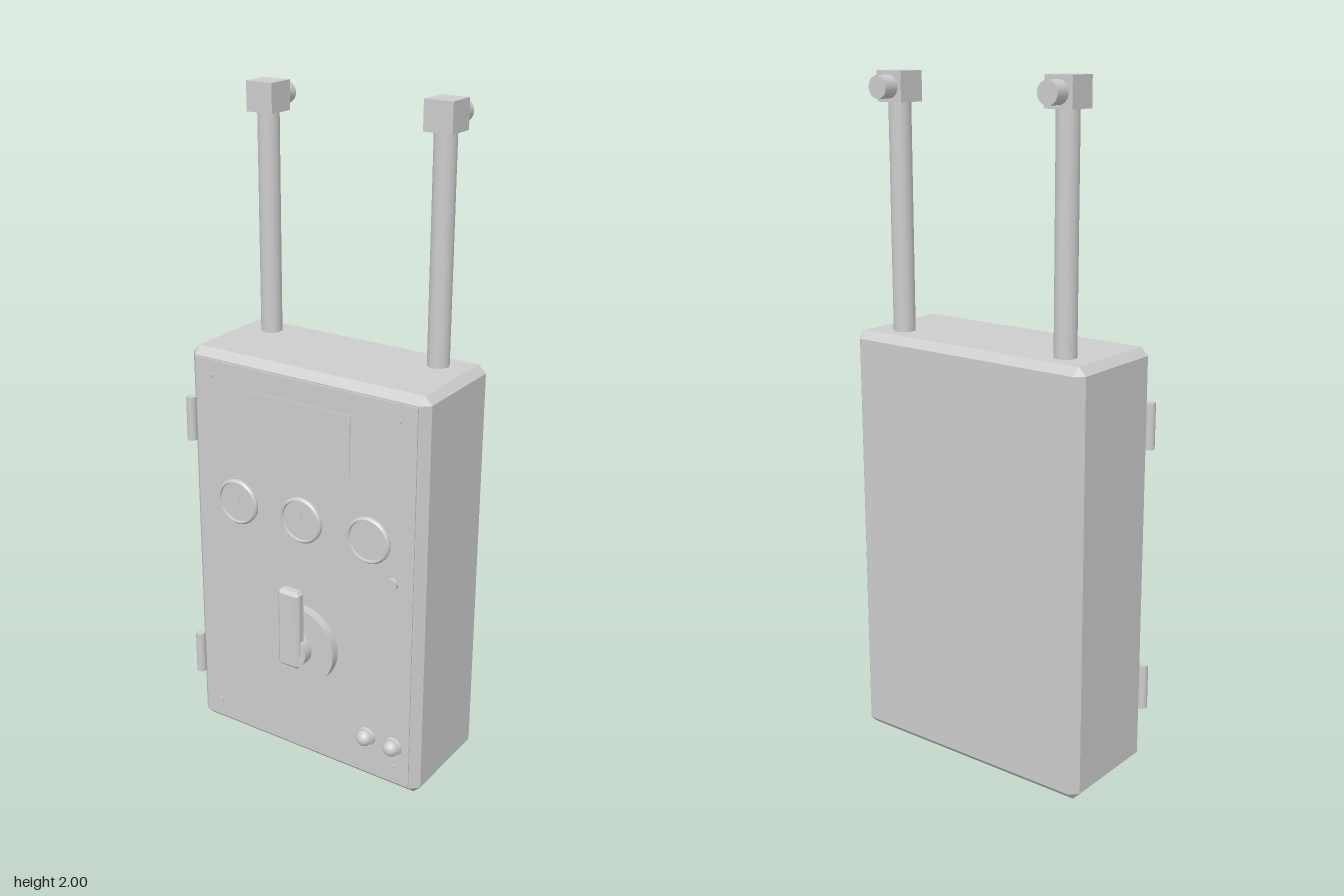
import * as THREE from 'three';
import { ConvexGeometry } from 'three/addons/geometries/ConvexGeometry.js';

const FRONT = 0.134; // z of the door surface

// Box with every edge chamfered by c
function chamferBox(w, h, d, c) {
  const pts = [];
  for (const sx of [-1, 1]) for (const sy of [-1, 1]) for (const sz of [-1, 1]) {
    const x = w / 2, y = h / 2, z = d / 2;
    pts.push(
      new THREE.Vector3(sx * x, sy * (y - c), sz * (z - c)),
      new THREE.Vector3(sx * (x - c), sy * y, sz * (z - c)),
      new THREE.Vector3(sx * (x - c), sy * (y - c), sz * z));
  }
  return new ConvexGeometry(pts);
}

export function createModel() {
  const model = new THREE.Group();
  model.name = 'controlCabinet';
  const grey = new THREE.MeshStandardMaterial({ color: 0xcccccc });
  grey.name = 'light grey';

  const add = (name, geometry, x, y, z) => {
    const mesh = new THREE.Mesh(geometry, grey);
    mesh.name = name;
    mesh.position.set(x, y, z);
    model.add(mesh);
    return mesh;
  };
  // Cylinder along z from z0 to z1
  const disc = (name, x, y, r, z0, z1, rFront = r, sides = 32) => {
    const g = new THREE.CylinderGeometry(rFront, r, z1 - z0, sides);
    g.rotateX(Math.PI / 2);
    return add(name, g, x, y, (z0 + z1) / 2);
  };

  // Cabinet and door
  add('cabinet', chamferBox(0.805, 1.265, 0.347, 0.023), 0.0075, 0.6325, -0.0435);
  add('door', new THREE.BoxGeometry(0.75, 1.21, 0.01), 0.0075, 0.6325, FRONT - 0.005);
  add('namePlate', new THREE.BoxGeometry(0.345, 0.18, 0.004), -0.002, 1.08, FRONT + 0.001);

  // Hinges
  for (const y of [0.233, 1.037])
    add('hinge', new THREE.CylinderGeometry(0.015, 0.015, 0.137, 20), -0.395, y, 0.128);

  // Corner screws
  for (const x of [-0.315, 0.327]) for (const y of [0.083, 1.19])
    disc('screw', x, y, 0.008, 0.128, 0.139, 0.008, 16);

  // Gauges: rim, recessed face, pivot and needle
  const rim = [[0.060, 0], [0.071, 0], [0.071, 0.007], [0.066, 0.013], [0.062, 0.013], [0.060, 0.006]]
    .map(([r, y]) => new THREE.Vector2(r, y));
  [[-0.222, -0.5], [0.006, -0.15], [0.236, 0.8]].forEach(([x, angle]) => {
    const y = 0.81;
    const rimGeometry = new THREE.LatheGeometry(rim, 40).toNonIndexed();
    rimGeometry.computeVertexNormals();
    rimGeometry.rotateX(Math.PI / 2);
    add('gaugeRim', rimGeometry, x, y, FRONT);
    disc('gaugeFace', x, y, 0.0605, FRONT - 0.004, FRONT + 0.007, 0.0605, 40);
    disc('gaugePivot', x, y, 0.004, FRONT, FRONT + 0.011, 0.004, 12);
    const needle = new THREE.BoxGeometry(0.003, 0.04, 0.002);
    needle.translate(0, 0.02, 0);
    add('gaugeNeedle', needle, x, y, FRONT + 0.009).rotation.z = angle;
  });

  // Door lock
  disc('lock', 0.316, 0.695, 0.018, 0.128, 0.145, 0.018, 24);

  // Rotary switch
  const sx = 0.006, sy = 0.405;
  disc('switchPlate', sx, sy, 0.126, 0.128, 0.162, 0.126, 48);
  disc('switchNeck', sx, sy, 0.035, 0.16, 0.175);
  disc('switchHub', sx, sy, 0.056, 0.169, 0.203);
  add('switchLever', chamferBox(0.075, 0.255, 0.04, 0.01), sx + 0.001, 0.483, 0.195);

  // Push buttons: collar and domed cap
  for (const x of [0.236, 0.329]) {
    disc('buttonCollar', x, 0.155, 0.031, 0.128, 0.145, 0.028, 24);
    const cap = new THREE.SphereGeometry(0.025, 24, 10, 0, Math.PI * 2, 0, Math.PI / 2);
    cap.rotateX(Math.PI / 2);
    add('buttonCap', cap, x, 0.155, 0.145);
  }

  // Conduits with square elbows and rear outlets
  for (const x of [-0.28, 0.295]) {
    add('conduit', new THREE.CylinderGeometry(0.032, 0.032, 0.68, 24), x, 1.585, -0.125);
    add('elbow', new THREE.BoxGeometry(0.088, 0.085, 0.088), x, 1.9575, -0.125);
    disc('outlet', x, 1.957, 0.032, -0.216, -0.165, 0.032, 24);
  }

  return model;
}
